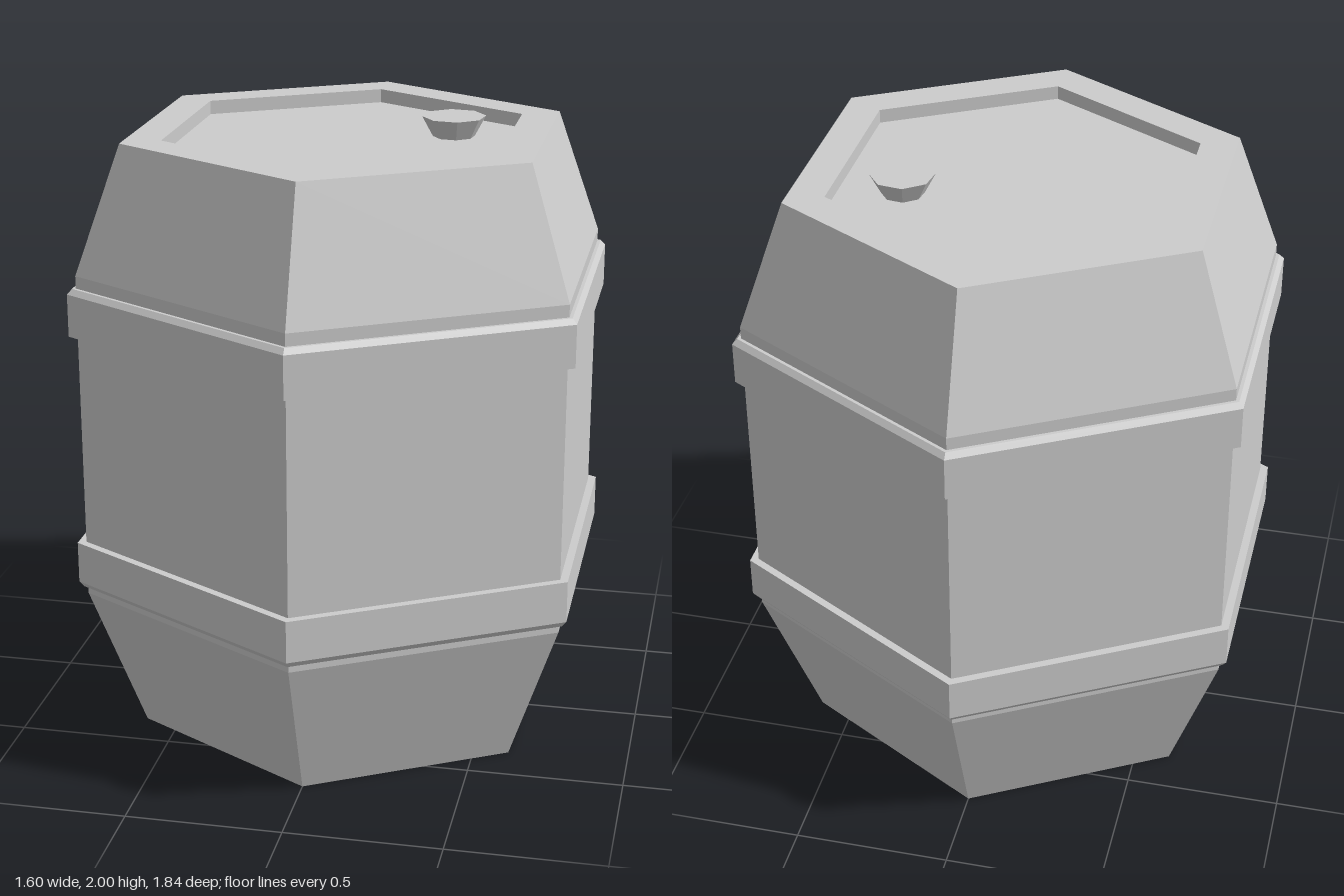
import * as THREE from 'three';

const SIDES = 6;

// Turns [radius, y] pairs into a six-sided ring with corners on the z axis.
function hexLathe(name, profile, material) {
  const points = profile.map(([r, y]) => new THREE.Vector2(r, y));
  const mesh = new THREE.Mesh(new THREE.LatheGeometry(points, SIDES), material);
  mesh.name = name;
  return mesh;
}

export function createModel() {
  const model = new THREE.Group();
  model.name = 'barrel';
  const grey = new THREE.MeshStandardMaterial({ color: 0xcccccc, flatShading: true });
  grey.name = 'grey';

  // Hollow foot: underside ceiling, inner wall, then bottom rim
  model.add(hexLathe('hollowBase', [
    [0, 0.65], [0.845, 0.65], [0.845, 0.46], [0.7, 0], [0.708, 0],
  ], grey));

  // Outer wall with tapered ends and a flat top rim
  model.add(hexLathe('body', [
    [0.708, 0], [0.892, 0.49], [0.892, 1.57], [0.738, 1.98], [0.605, 1.98],
  ], grey));

  // Recessed lid
  model.add(hexLathe('lid', [[0.605, 1.98], [0.605, 1.935], [0, 1.935]], grey));

  // Two hoops, bevelled on the edge facing the nearer end
  model.add(hexLathe('lowerHoop', [
    [0.88, 0.515], [0.904, 0.515], [0.921, 0.535], [0.921, 0.672], [0.88, 0.672],
  ], grey));
  model.add(hexLathe('upperHoop', [
    [0.88, 1.375], [0.921, 1.375], [0.921, 1.513], [0.904, 1.53], [0.88, 1.53],
  ], grey));

  // Tapered eight-sided bung on the lid
  const bung = new THREE.Mesh(new THREE.CylinderGeometry(0.103, 0.065, 0.07, 8), grey);
  bung.name = 'bung';
  bung.position.set(0.325, 1.965, -0.14);
  bung.rotation.y = 0.25;
  model.add(bung);

  return model;
}
